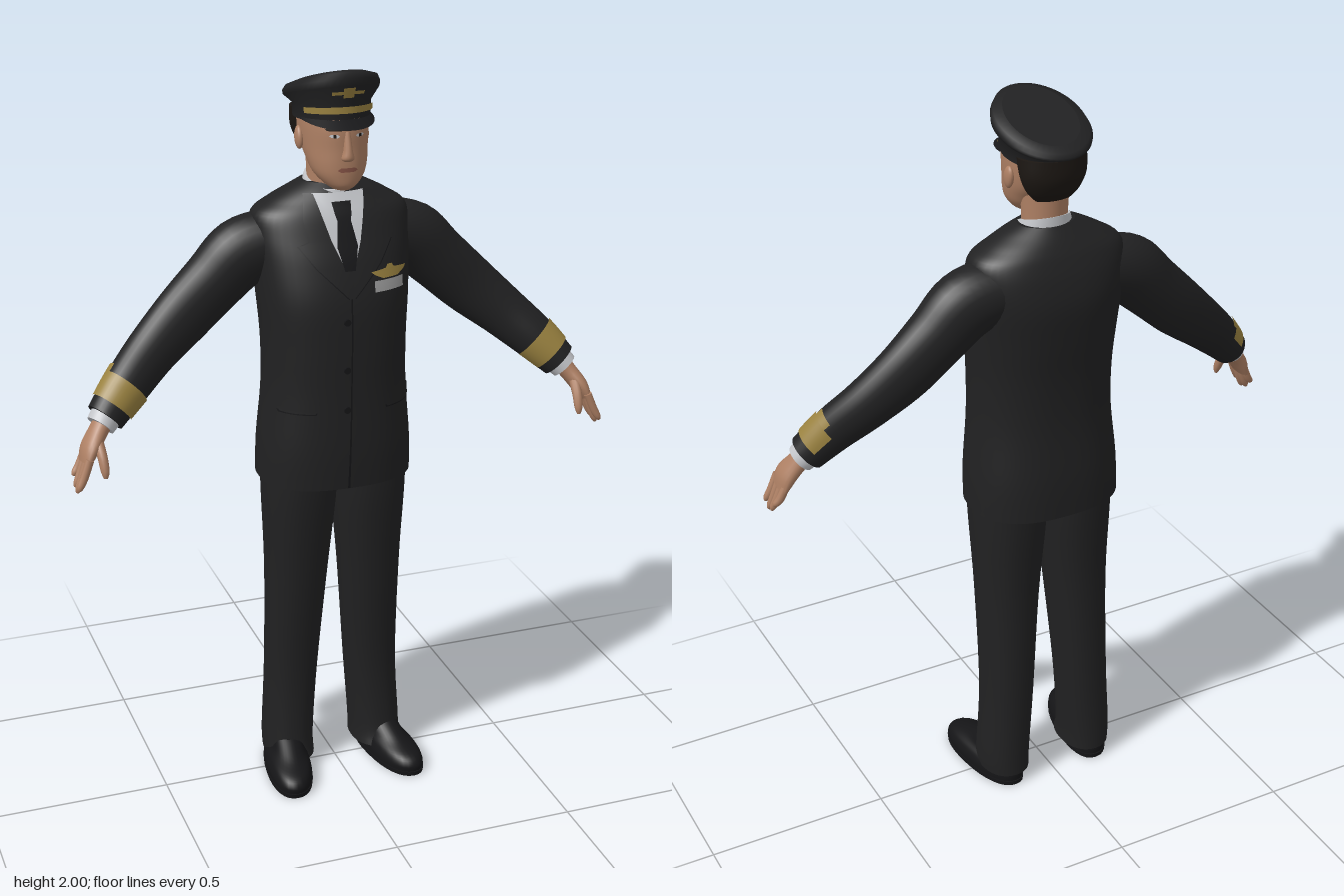
import * as THREE from 'three';

const V = (x, y, z) => new THREE.Vector3(x, y, z);
const PI = Math.PI, lerp = THREE.MathUtils.lerp;
const paint = (name, color) => Object.assign(new THREE.MeshStandardMaterial({ color }), { name });

// Catmull-Rom refinement of a list of section parameters
function smooth(secs, sub = 5) {
  const out = [], at = i => secs[Math.min(secs.length - 1, Math.max(0, i))];
  for (let i = 0; i < secs.length - 1; i++)
    for (let k = 0; k < sub; k++) {
      const t = k / sub;
      out.push(at(i).map((b, c) => {
        const a = at(i - 1)[c], d = at(i + 1)[c], e = at(i + 2)[c];
        return b + 0.5 * t * (d - a + t * (2 * a - 5 * b + 4 * d - e + t * (3 * (b - d) + e - a)));
      }));
    }
  out.push(secs[secs.length - 1]);
  return out;
}

// Point on a level section [y, centreX, halfWidth, frontZ, backZ, power, slope]
function levelPoint([y, cx, hw, zf, zb, p = 2, slope = 0], a) {
  const c = Math.cos(a), s = Math.sin(a), e = 2 / p, r = (zf - zb) / 2;
  const dz = r * Math.sign(s) * Math.abs(s) ** e;
  return V(cx + hw * Math.sign(c) * Math.abs(c) ** e, y + slope * dz, (zf + zb) / 2 + dz);
}

// Point on limb section i of [x, y, z, radiusInPlane, radiusAcross]
function limbPoint(secs, i, a, grow = 0) {
  const pos = s => V(s[0], s[1], s[2]), c = secs[i];
  const t = pos(secs[Math.min(i + 1, secs.length - 1)]).sub(pos(secs[Math.max(i - 1, 0)])).normalize();
  const u = t.clone().cross(V(0, 0, 1)).normalize(), v = u.clone().cross(t);
  return pos(c).addScaledVector(u, Math.cos(a) * (c[3] + grow)).addScaledVector(v, Math.sin(a) * (c[4] + grow));
}

function build(points, index) {
  const g = new THREE.BufferGeometry().setFromPoints(points);
  g.setIndex(index);
  g.computeVertexNormals();
  return g;
}

// Skin over rings of points, closed by flat caps
function loft(rings) {
  const n = rings[0].length, pts = rings.flat(), idx = [];
  for (let r = 0; r < rings.length - 1; r++)
    for (let i = 0; i < n; i++) {
      const a = r * n + i, b = r * n + (i + 1) % n;
      idx.push(a, a + n, b, b, a + n, b + n);
    }
  [rings[0], rings[rings.length - 1]].forEach((ring, top) => {
    const o = pts.length, mid = V(0, 0, 0);
    ring.forEach(p => mid.addScaledVector(p, 1 / n));
    pts.push(...ring.map(p => p.clone()), mid);
    for (let i = 0; i < n; i++) {
      const j = (i + 1) % n;
      idx.push(o + n, o + (top ? j : i), o + (top ? i : j));
    }
  });
  return build(pts, idx);
}
const angles = n => Array.from({ length: n }, (_, i) => i / n * 2 * PI);
const level = (secs, n = 32) => loft(secs.map(s => angles(n).map(a => levelPoint(s, a))));
const limb = (secs, n = 20) => loft(secs.map((_, i) => angles(n).map(a => limbPoint(secs, i, a))));

// Open sheet from f(u, v)
function sheet(nu, nv, f) {
  const pts = [], idx = [], w = nu + 1;
  for (let j = 0; j <= nv; j++) for (let i = 0; i <= nu; i++) pts.push(f(i / nu, j / nv));
  for (let j = 0; j < nv; j++) for (let i = 0; i < nu; i++) {
    const a = j * w + i;
    idx.push(a, a + 1, a + w, a + 1, a + w + 1, a + w);
  }
  return build(pts, idx);
}

// Plate of rows [y, xMin, xMax], rising, laid on the front of a level body
function plate(secs, rows, off = 0.005) {
  const frontZ = (x, y) => {
    let k = 0;
    while (k < secs.length - 2 && secs[k + 1][0] < y) k++;
    const t = (y - secs[k][0]) / (secs[k + 1][0] - secs[k][0]);
    const [, , hw, zf, zb, p] = secs[k].map((v, c) => lerp(v, secs[k + 1][c], t)), m = (zf + zb) / 2;
    return m + (zf - m) * Math.max(0, 1 - Math.abs(x / hw) ** p) ** (1 / p);
  };
  const last = rows.length - 1;
  return sheet(8, last * 4, (u, v) => {
    const k = Math.min(last - 1, Math.floor(v * last + 1e-6));
    const [y, a, b] = rows[k].map((c, i) => lerp(c, rows[k + 1][i], v * last - k));
    const x = lerp(a, b, u);
    return V(x, y, frontZ(x, y) + off);
  });
}

function mirrored(g) {
  const m = g.clone().scale(-1, 1, 1), id = m.index.array;
  for (let i = 0; i < id.length; i += 3) [id[i], id[i + 1]] = [id[i + 1], id[i]];
  return m;
}

export function createModel() {
  const model = new THREE.Group();
  model.name = 'uniformedOfficer';
  const cloth = paint('charcoal cloth', 0x212122), dark = paint('black trim', 0x151517);
  const skin = paint('skin', 0xae8064), shirt = paint('white shirt', 0xc4c6ca);
  const gold = paint('gold braid', 0x9a8240), silver = paint('silver tag', 0x9c9c9c);
  const hair = paint('dark hair', 0x1c1713), lip = paint('lips', 0x8a5648);
  const visorMat = paint('visor black', 0x18181a);
  visorMat.side = THREE.DoubleSide;
  const add = (name, g, mat) => {
    const m = new THREE.Mesh(g, mat);
    m.name = name;
    model.add(m);
  };
  const pair = (name, g, mat) => {
    add(name + 'Left', g, mat);
    add(name + 'Right', mirrored(g), mat);
  };

  // Jacket
  const coat = smooth([
    [0.895, 0, 0.208, 0.138, -0.18, 2.5], [1.0, 0, 0.205, 0.142, -0.178, 2.5], [1.15, 0, 0.193, 0.14, -0.166, 2.4],
    [1.28, 0, 0.192, 0.14, -0.168, 2.4], [1.4, 0, 0.2, 0.135, -0.18, 2.4], [1.5, 0, 0.208, 0.11, -0.187, 2.4],
    [1.57, 0, 0.212, 0.082, -0.176, 2.4], [1.62, 0, 0.206, 0.06, -0.158, 2.3], [1.65, 0, 0.165, 0.043, -0.142, 2.2],
    [1.675, 0, 0.12, 0.03, -0.125, 2], [1.695, 0, 0.078, 0.01, -0.108, 2]]);
  add('jacket', level(coat, 48), cloth);
  add('shirtFront', plate(coat, [[1.5, -0.015, 0.015], [1.545, -0.035, 0.035], [1.6, -0.05, 0.05], [1.675, -0.07, 0.07]], 0.004), shirt);
  add('tie', plate(coat, [[1.49, -0.014, 0.014], [1.55, -0.028, 0.028], [1.61, -0.018, 0.018], [1.625, -0.022, 0.022], [1.655, -0.026, 0.026]], 0.009), dark);
  pair('lapel', plate(coat, [[1.42, 0, 0.006], [1.5, 0.014, 0.085], [1.555, 0.036, 0.125], [1.565, 0.04, 0.1], [1.62, 0.055, 0.105], [1.675, 0.068, 0.09]], 0.007), cloth);
  pair('lapelEdge', plate(coat, [[1.42, 0.006, 0.01], [1.5, 0.085, 0.089], [1.555, 0.125, 0.129]], 0.006), dark);
  add('frontSeam', plate(coat, [[0.897, -0.012, -0.006], [1.1, -0.006, -0.002], [1.42, -0.002, 0.002]], 0.003), dark);
  for (const y of [1.12, 1.23, 1.36]) {
    const button = new THREE.CylinderGeometry(0.009, 0.009, 0.008, 14).rotateX(PI / 2);
    add('button', button.translate(-0.015, y, 0.142), dark);
  }
  pair('pocketFlap', plate(coat, [[1.115, 0.1, 0.178], [1.122, 0.095, 0.182], [1.155, 0.09, 0.178]], 0.007), cloth);
  pair('pocketEdge', plate(coat, [[1.111, 0.097, 0.181], [1.118, 0.094, 0.183]], 0.005), dark);

  // Chest badge and name tag on the left breast
  add('wingBadge', plate(coat, [[1.462, 0.09, 0.135], [1.472, 0.068, 0.157], [1.481, 0.056, 0.168], [1.486, 0.1, 0.125], [1.495, 0.106, 0.119]], 0.008), gold);
  add('nameTag', plate(coat, [[1.43, 0.064, 0.153], [1.458, 0.064, 0.153]], 0.008), silver);

  // Sleeves, braid and shirt cuffs
  const sleeve = smooth([
    [0.15, 1.54, -0.06, 0.082, 0.085], [0.235, 1.512, -0.06, 0.092, 0.08], [0.31, 1.445, -0.058, 0.085, 0.07],
    [0.4, 1.362, -0.05, 0.08, 0.06], [0.49, 1.285, -0.025, 0.07, 0.056], [0.57, 1.213, 0.015, 0.062, 0.053],
    [0.635, 1.147, 0.045, 0.051, 0.05]]);
  pair('sleeve', limb(sleeve, 28), cloth);
  const braidStart = sleeve.length - 6;
  const braid = (a0, a1, first, count) => sheet(24, count, (u, v) =>
    limbPoint(sleeve, braidStart + first + Math.round(v * count), lerp(a1, a0, u), 0.004));
  pair('braid', braid(0.1 * PI, 1.4 * PI, 0, 3), gold);
  pair('braidLoop', braid(0.95 * PI, 1.25 * PI, -1, 1), gold);
  pair('shirtCuff', limb([[0.63, 1.152, 0.043, 0.042, 0.042], [0.65, 1.13, 0.053, 0.038, 0.04]]), shirt);

  // Hands
  pair('palm', limb(smooth([[0.638, 1.143, 0.05, 0.026, 0.03], [0.66, 1.115, 0.06, 0.024, 0.034],
    [0.685, 1.08, 0.075, 0.022, 0.043], [0.7, 1.048, 0.082, 0.014, 0.042]], 4)), skin);
  for (let k = 0; k < 4; k++) {
    const z = 0.05 + 0.022 * k, drop = [0.045, 0.068, 0.075, 0.062][k];
    pair('finger', limb(smooth([[0.694, 1.065, z, 0.011, 0.011], [0.712, 1.045 - drop * 0.4, z + 0.004, 0.011, 0.011],
      [0.724, 1.05 - drop * 0.85, z + 0.008, 0.009, 0.009], [0.728, 1.05 - drop, z + 0.009, 0.004, 0.004]], 3), 10), skin);
  }
  pair('thumb', limb(smooth([[0.665, 1.1, 0.085, 0.014, 0.016], [0.662, 1.07, 0.115, 0.013, 0.014],
    [0.66, 1.035, 0.132, 0.011, 0.011], [0.66, 1.018, 0.136, 0.005, 0.005]], 3), 10), skin);

  // Trousers
  pair('trouserLeg', level(smooth([
    [0.035, 0.13, 0.069, 0.062, -0.126, 2.2], [0.1, 0.13, 0.07, 0.046, -0.125, 2.2], [0.3, 0.118, 0.073, 0.04, -0.122, 2.2],
    [0.6, 0.106, 0.084, 0.072, -0.12, 2.2], [0.83, 0.099, 0.097, 0.102, -0.135, 2.3], [0.95, 0.098, 0.1, 0.11, -0.14, 2.3]])), cloth);

  // Shoes, toes turned slightly outward
  const turnOut = g => {
    const p = g.attributes.position;
    for (let i = 0; i < p.count; i++) p.setX(i, p.getX(i) + 0.13 * p.getZ(i));
    g.computeVertexNormals();
    return g;
  };
  pair('shoe', turnOut(level(smooth([
    [0.012, 0.148, 0.062, 0.187, -0.122, 2.3], [0.03, 0.148, 0.062, 0.187, -0.122, 2.3], [0.05, 0.147, 0.056, 0.168, -0.118, 2.3],
    [0.07, 0.143, 0.046, 0.11, -0.112, 2.1], [0.1, 0.14, 0.042, 0.045, -0.108, 2]]))), dark);
  pair('sole', turnOut(level([[0, 0.148, 0.063, 0.188, -0.124, 2.3], [0.013, 0.148, 0.064, 0.19, -0.125, 2.3]])), dark);

  // Neck and collar
  add('neck', level([[1.64, 0, 0.06, 0.02, -0.105], [1.7, 0, 0.058, 0.016, -0.102], [1.78, 0, 0.06, 0.02, -0.11]]), skin);
  add('collar', level([[1.65, 0, 0.084, 0.046, -0.108, 2, -0.3], [1.7, 0, 0.067, 0.03, -0.107, 2, -0.3]]), shirt);

  // Head and face
  const head = smooth([
    [1.692, 0, 0.024, 0.083, 0.02, 2], [1.705, 0, 0.043, 0.096, -0.01, 2.1], [1.73, 0, 0.064, 0.1, -0.045, 2.2],
    [1.76, 0, 0.075, 0.101, -0.075, 2.2], [1.8, 0, 0.082, 0.1, -0.118, 2.2], [1.85, 0, 0.086, 0.1, -0.14, 2.2],
    [1.9, 0, 0.085, 0.09, -0.135, 2.2]]);
  add('head', level(head), skin);
  add('nose', level(smooth([[1.77, 0, 0.01, 0.106, 0.08], [1.778, 0, 0.017, 0.117, 0.08], [1.8, 0, 0.012, 0.115, 0.08],
    [1.845, 0, 0.009, 0.102, 0.08]]), 14), skin);
  add('mouth', plate(head, [[1.743, -0.018, 0.018], [1.748, -0.027, 0.027], [1.754, -0.018, 0.018]], 0.002), lip);
  pair('eye', plate(head, [[1.831, 0.026, 0.04], [1.835, 0.021, 0.046], [1.839, 0.026, 0.042]], 0.002), shirt);
  pair('iris', plate(head, [[1.831, 0.03, 0.037], [1.839, 0.03, 0.037]], 0.003), hair);
  pair('eyebrow', plate(head, [[1.848, 0.016, 0.05], [1.853, 0.018, 0.054]], 0.003), hair);
  pair('ear', new THREE.SphereGeometry(1, 16, 12).scale(0.011, 0.03, 0.019).rotateX(-0.2).translate(0.088, 1.812, -0.022), skin);
  add('hair', level(smooth([[1.765, 0, 0.05, -0.065, -0.112], [1.79, 0, 0.072, -0.045, -0.132],
    [1.83, 0, 0.088, -0.03, -0.147], [1.88, 0, 0.092, -0.01, -0.148]])), hair);

  // Peaked cap: band, flared crown, strap, badge and visor
  const cap = [
    [1.863, 0, 0.096, 0.096, -0.146, 2, 0.05], [1.9, 0, 0.098, 0.097, -0.147, 2, 0.15], [1.925, 0, 0.12, 0.113, -0.167, 2, 0.27],
    [1.938, 0, 0.121, 0.114, -0.169, 2, 0.31], [1.95, 0, 0.114, 0.109, -0.162, 2, 0.34], [1.957, 0, 0.09, 0.086, -0.138, 2, 0.36]];
  add('cap', level(cap, 48), cloth);
  const capPatch = (k, t0, t1, span) => sheet(24, 2, (u, v) => {
    const a = PI / 2 + lerp(span, -span, u);
    const p = levelPoint(cap[k], a).lerp(levelPoint(cap[k + 1], a), lerp(t0, t1, v));
    return p.add(V(Math.cos(a) * 0.004, 0, Math.sin(a) * 0.004));
  });
  add('capStrap', capPatch(0, 0.45, 0.8, 0.36 * PI), gold);
  add('capBadge', capPatch(1, 0.5, 0.7, 0.12 * PI), gold);
  add('capBadgeCentre', capPatch(1, 0.3, 0.9, 0.04 * PI), gold);
  add('visor', sheet(28, 4, (u, v) => {
    const a = lerp(0.08 * PI, 0.92 * PI, u), p = levelPoint(cap[0], a), reach = Math.sin(a) ** 1.2 * v;
    return p.add(V(Math.cos(a) * 0.012 * reach, 0.006 - 0.018 * reach, 0.041 * reach));
  }), visorMat);

  return model;
}
